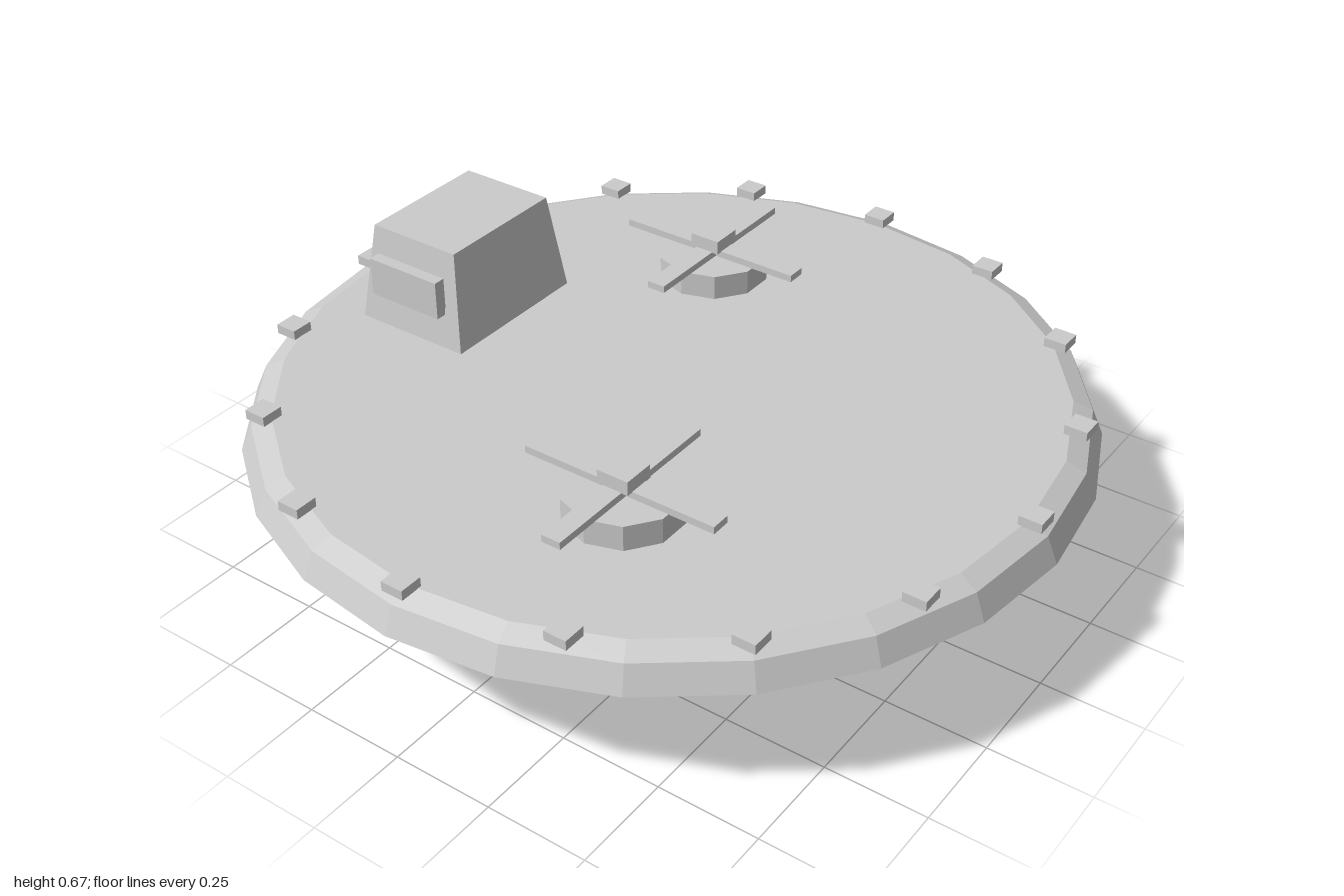
import * as THREE from 'three';

const material = new THREE.MeshStandardMaterial({ color: 0xcccccc, flatShading: true });

function add(parent, name, geometry, x = 0, y = 0, z = 0) {
  const mesh = new THREE.Mesh(geometry, material);
  mesh.name = name;
  mesh.position.set(x, y, z);
  parent.add(mesh);
  return mesh;
}

// Cylinder running between two points
function addRod(parent, name, from, to, radius) {
  const axis = to.clone().sub(from);
  const rod = add(parent, name, new THREE.CylinderGeometry(radius, radius, axis.length(), 8));
  rod.position.copy(from).add(to).multiplyScalar(0.5);
  rod.quaternion.setFromUnitVectors(new THREE.Vector3(0, 1, 0), axis.normalize());
}

function createRotor(x, z) {
  const rotor = new THREE.Group();
  rotor.name = 'rotor';
  rotor.position.set(x, 0, z);
  add(rotor, 'rotorHub', new THREE.CylinderGeometry(0.14, 0.14, 0.065, 10), 0, 0.45, 0);
  add(rotor, 'rotorBladeAcross', new THREE.BoxGeometry(0.495, 0.018, 0.048), 0, 0.491, 0);
  add(rotor, 'rotorBladeAlong', new THREE.BoxGeometry(0.048, 0.018, 0.495), 0, 0.491, 0);
  add(rotor, 'rotorCap', new THREE.BoxGeometry(0.08, 0.035, 0.08), 0, 0.516, 0);
  return rotor;
}

export function createModel() {
  const model = new THREE.Group();
  model.name = 'discPlatform';

  // Round deck with a chamfered rim
  const profile = [[0, 0.335], [1, 0.335], [0.972, 0.398], [0.925, 0.42], [0, 0.42]]
    .map(([r, y]) => new THREE.Vector2(r, y));
  add(model, 'deck', new THREE.LatheGeometry(profile, 24));

  // Small square lamps around the rim, all aligned to the axes
  for (let i = 0; i < 16; i++) {
    const a = (i * Math.PI) / 8;
    add(model, 'rimLamp', new THREE.BoxGeometry(0.056, 0.024, 0.056),
      0.94 * Math.sin(a), 0.431, 0.94 * Math.cos(a));
  }

  // Tapered cabin with a raised front window
  const cabin = new THREE.BoxGeometry(0.31, 0.25, 0.41);
  const pos = cabin.attributes.position;
  for (let i = 0; i < pos.count; i++) {
    if (pos.getY(i) > 0) pos.setXYZ(i, pos.getX(i) * 0.8, pos.getY(i), pos.getZ(i) * 0.84);
  }
  cabin.computeVertexNormals();
  add(model, 'cabin', cabin, -0.628, 0.542, 0);
  add(model, 'cabinWindow', new THREE.BoxGeometry(0.205, 0.097, 0.03), -0.628, 0.555, 0.205);

  // Two four-bladed rotors on opposite corners
  model.add(createRotor(-0.21, -0.47), createRotor(0.21, 0.47));

  // Six legs slanting inwards
  for (let i = 0; i < 6; i++) {
    const a = (i * Math.PI) / 3;
    const at = (r, y) => new THREE.Vector3(r * Math.sin(a), y, r * Math.cos(a));
    addRod(model, 'leg', at(0.485, 0.023), at(0.778, 0.318), 0.033);
  }
  return model;
}
